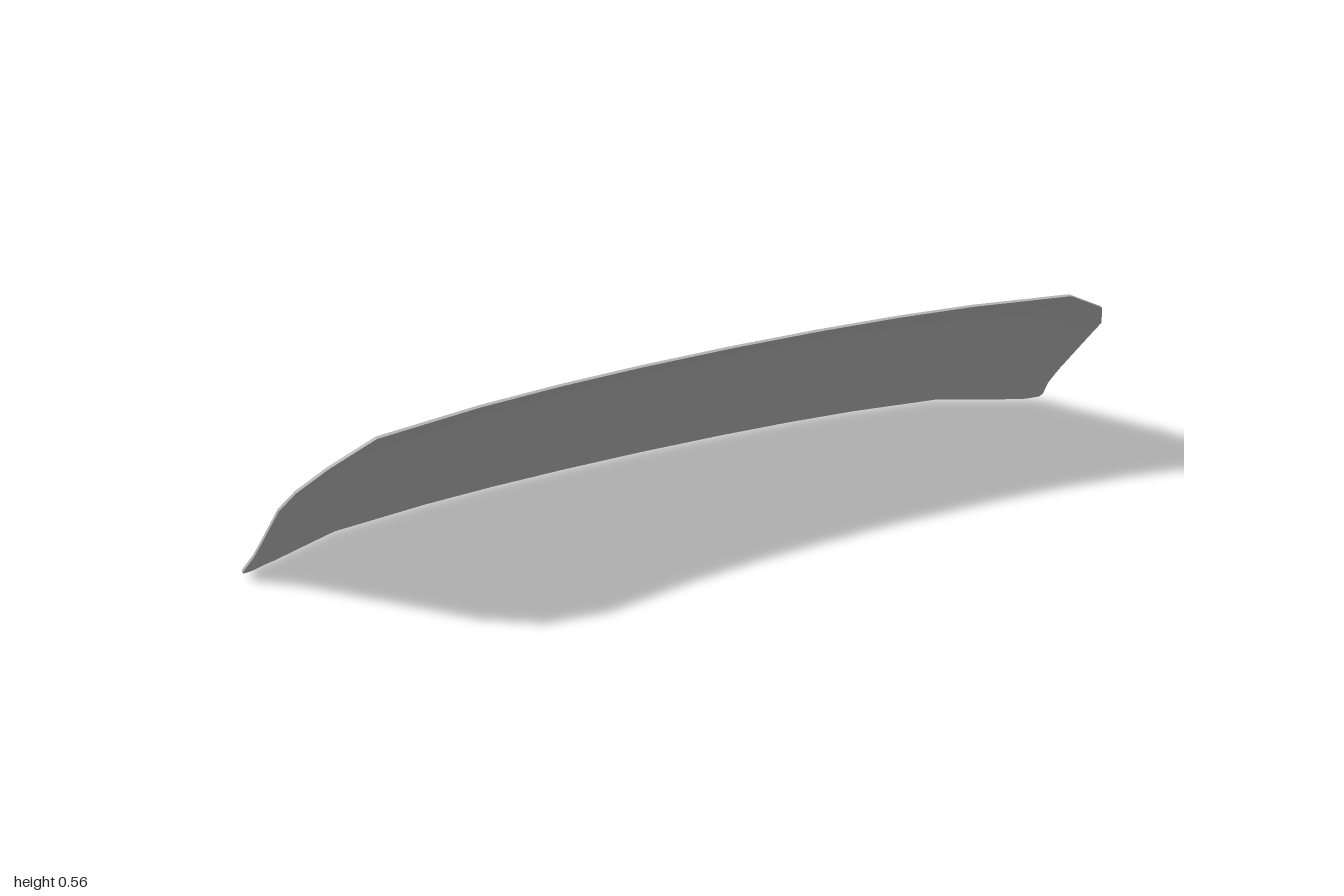
import * as THREE from 'three';

// Half outline of the curved pane: x, sag below the centre line, lowest y, highest y
const HALF = [
  [0, 0, 0, 0.563], [0.2, 0.003, 0, 0.563], [0.38, 0.011, 0, 0.563], [0.55, 0.025, 0, 0.563],
  [0.77, 0.056, 0, 0.563], [0.865, 0.098, 0, 0.507], [0.92, 0.123, 0, 0.42],
  [0.945, 0.132, 0, 0.33], [0.968, 0.143, 0, 0.17], [0.98, 0.15, 0.006, 0.1], [1, 0.16, 0.018, 0.035],
];
const THICKNESS = 0.01;
const CREASE = 0.5;

// Slope of the centre line: steep below the crease, shallower above it
const depth = (h) => (h < CREASE ? -0.302 + 0.904 * h : 0.15 + 1.19 * (h - CREASE));

function paneGeometry() {
  const columns = [
    ...HALF.slice(1).reverse().map(([x, ...rest]) => [-x, ...rest]),
    ...HALF,
  ].map(([x, sag, low, high]) => {
    const crease = Math.min(CREASE - sag, high - 0.008);
    return [low, crease, high].map((y) => [x, y, depth(y + sag)]);
  });
  const positions = [];
  const quad = (a, b, c, d) => positions.push(...a, ...b, ...c, ...a, ...c, ...d);
  const under = ([x, y, z]) => [x, y, z + THICKNESS];

  // Upper and lower skins
  for (let i = 0; i < columns.length - 1; i++) {
    for (let j = 0; j < 2; j++) {
      const [a, b, c, d] = [columns[i][j], columns[i + 1][j], columns[i + 1][j + 1], columns[i][j + 1]];
      quad(d, c, b, a);
      quad(under(a), under(b), under(c), under(d));
    }
  }

  // Rim joining both skins
  const last = columns[columns.length - 1];
  const rim = [
    ...columns.map((c) => c[0]), last[1],
    ...columns.map((c) => c[2]).reverse(), columns[0][1],
  ];
  rim.forEach((p, i) => {
    const q = rim[(i + 1) % rim.length];
    quad(p, q, under(q), under(p));
  });

  const geometry = new THREE.BufferGeometry();
  geometry.setAttribute('position', new THREE.Float32BufferAttribute(positions, 3));
  geometry.computeVertexNormals();
  return geometry;
}

export function createModel() {
  const glass = new THREE.MeshStandardMaterial({ color: 0xb4b4b4 });
  glass.name = 'grey glass';
  const pane = new THREE.Mesh(paneGeometry(), glass);
  pane.name = 'windowPane';
  const model = new THREE.Group();
  model.name = 'curvedWindow';
  model.add(pane);
  return model;
}
